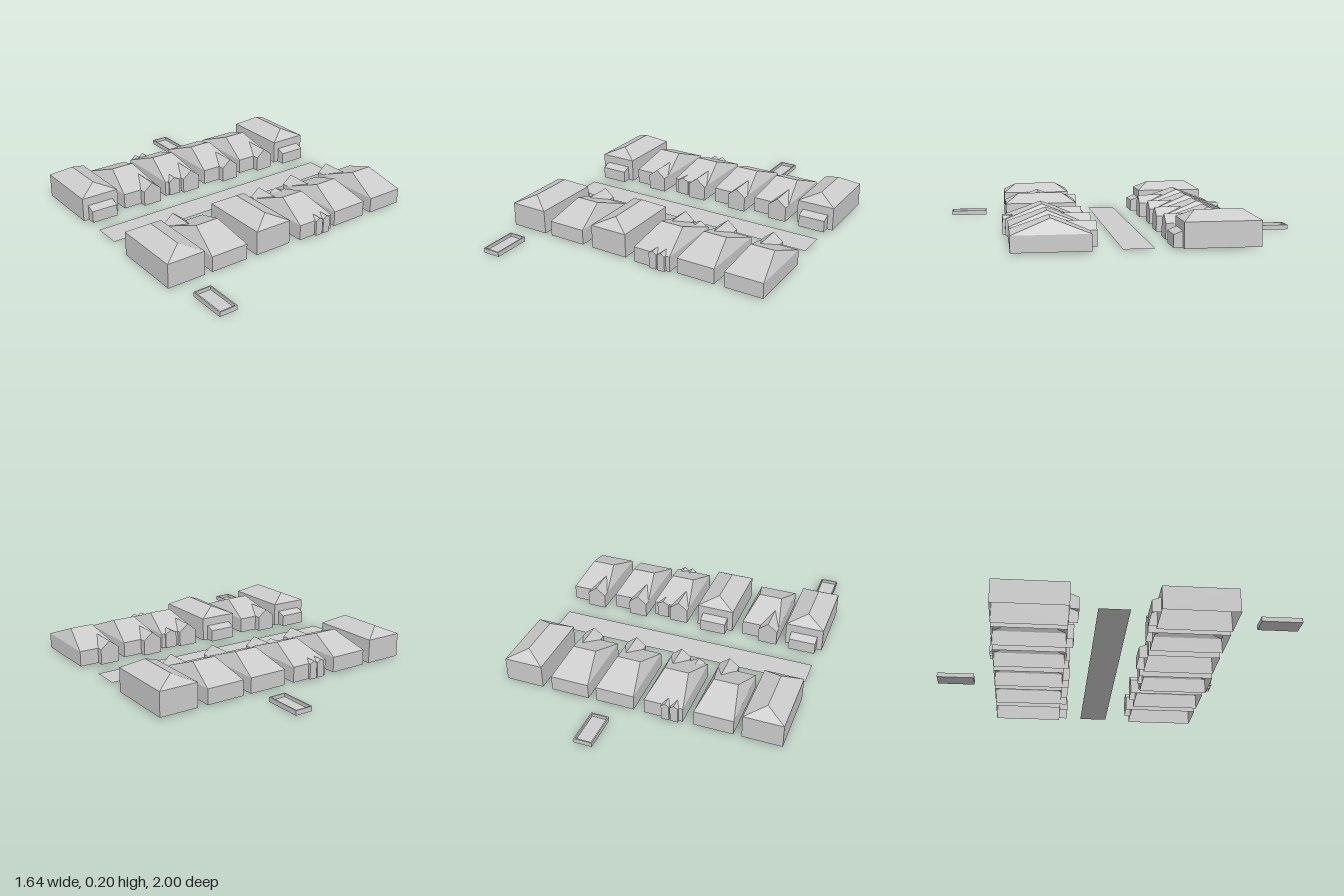
import * as THREE from 'three';

const material = new THREE.MeshStandardMaterial({ color: 0xcccccc, flatShading: true, side: THREE.DoubleSide });
const HW = 0.1135, HD = 0.2085; // half width and half depth of a house
const BASE = 0.01, EAVE = 0.10, RIDGE = 0.18;

// Mesh from corner points and convex faces (fanned into triangles)
function faceted(name, points, faces) {
  const pos = [];
  for (const f of faces)
    for (let i = 1; i < f.length - 1; i++)
      pos.push(...points[f[0]], ...points[f[i]], ...points[f[i + 1]]);
  const g = new THREE.BufferGeometry();
  g.setAttribute('position', new THREE.Float32BufferAttribute(pos, 3));
  g.computeVertexNormals();
  const mesh = new THREE.Mesh(g, material);
  mesh.name = name;
  return mesh;
}

const rect = (w, d, y) => [[-w, y, d], [w, y, d], [w, y, -d], [-w, y, -d]];

// Four walls, open underneath
function walls(eave) {
  return faceted('walls', [...rect(HW, HD, BASE), ...rect(HW, HD, eave)],
    [0, 1, 2, 3].map(i => [i, (i + 1) % 4, 4 + (i + 1) % 4, 4 + i]));
}

// Hipped roof; the ridge is inset by (rx, rz) half lengths, one of them zero
function hipRoof(eave, top, rx, rz) {
  const faces = rx > 0
    ? [[0, 1, 5, 4], [1, 2, 5], [2, 3, 4, 5], [3, 0, 4]]
    : [[0, 1, 4], [1, 2, 5, 4], [2, 3, 5], [3, 0, 4, 5]];
  const ridge = rx > 0 ? [[-rx, top, 0], [rx, top, 0]] : [[0, top, rz], [0, top, -rz]];
  return faceted('hipRoof', [...rect(HW, HD, eave), ...ridge], faces);
}

// Gabled bay whose ridge runs level back into the main roof slope
function gableBay(name, x0, x1, out, top, back = false) {
  const xm = (x0 + x1) / 2, zf = HD + out;
  const zj = HD * (1 - (top - EAVE) / (RIDGE - EAVE));
  const s = back ? -1 : 1;
  const pts = [
    [x0, BASE, zf], [x1, BASE, zf], [x1, EAVE, zf], [xm, top, zf], [x0, EAVE, zf],
    [x0, BASE, HD], [x1, BASE, HD], [x1, EAVE, HD], [xm, top, zj], [x0, EAVE, HD],
  ].map(([x, y, z]) => [x, y, z * s]);
  const faces = [[0, 1, 2, 3, 4], [1, 6, 7, 2], [5, 0, 4, 9], [2, 7, 8, 3], [4, 3, 8, 9]];
  return faceted(name, pts, back ? faces.map(f => f.reverse()) : faces);
}

// Lean-to porch with a sloping top
function porch() {
  const w = 0.08, zf = HD + 0.05;
  const pts = [
    [-w, BASE, zf], [w, BASE, zf], [w, 0.08, zf], [-w, 0.08, zf],
    [-w, BASE, HD], [w, BASE, HD], [w, 0.10, HD], [-w, 0.10, HD],
  ];
  return faceted('porch', pts, [[0, 1, 2, 3], [1, 5, 6, 2], [4, 0, 3, 7], [3, 2, 6, 7]]);
}

function group(name, ...parts) {
  const g = new THREE.Group();
  g.name = name;
  g.add(...parts);
  return g;
}

const houses = {
  tall: () => group('tallHouse', walls(0.15), hipRoof(0.15, 0.20, 0, 0.13), porch()),
  low: () => group('lowHouse', walls(EAVE), hipRoof(EAVE, RIDGE, 0.07, 0),
    gableBay('frontBay', 0, HW, 0.04, 0.146)),
  cottage: () => group('cottage', walls(EAVE), hipRoof(EAVE, RIDGE, 0.07, 0),
    gableBay('frontBay', 0, HW, 0.028, 0.146),
    gableBay('smallFrontBay', -0.09, -0.017, 0.01, 0.12),
    gableBay('rearBayOuter', -0.09, -0.044, 0.015, 0.117, true),
    gableBay('rearBayInner', -0.038, 0.008, 0.015, 0.117, true)),
};

// Shallow open basin with a thin rim
function pool(x, z) {
  const w = 0.105, d = 0.222, t = 0.007, h = 0.027;
  const outline = new THREE.Shape([[-w, -d], [w, -d], [w, d], [-w, d]].map(([a, b]) => new THREE.Vector2(a / 2, b / 2)));
  const iw = w / 2 - t, id = d / 2 - t;
  outline.holes.push(new THREE.Path([[-iw, -id], [-iw, id], [iw, id], [iw, -id]].map(([a, b]) => new THREE.Vector2(a, b))));
  const rim = new THREE.Mesh(new THREE.ExtrudeGeometry(outline, { depth: h, bevelEnabled: false }).rotateX(-Math.PI / 2), material);
  rim.name = 'poolRim';
  const floor = new THREE.Mesh(new THREE.BoxGeometry(2 * iw, 0.008, 2 * id).translate(0, 0.004, 0), material);
  floor.name = 'poolFloor';
  const g = group('pool', rim, floor);
  g.position.set(x, 0, z);
  return g;
}

export function createModel() {
  const model = new THREE.Group();
  model.name = 'street';

  // Two facing rows of houses
  const rows = [
    { z: -0.4475, turn: 0, list: [['tall', -0.708], ['low', -0.435], ['cottage', -0.147], ['low', 0.142], ['low', 0.418], ['tall', 0.704]] },
    { z: 0.4475, turn: Math.PI, list: [['tall', -0.708], ['low', -0.435], ['tall', -0.142], ['cottage', 0.152], ['low', 0.418], ['low', 0.704]] },
  ];
  for (const { z, turn, list } of rows)
    for (const [kind, x] of list) {
      const house = houses[kind]();
      house.position.set(x, 0, kind === 'cottage' && turn ? z + 0.012 : z);
      house.rotation.y = turn;
      model.add(house);
    }

  // Flat road between the rows
  const road = new THREE.Mesh(new THREE.PlaneGeometry(1.59, 0.17).rotateX(-Math.PI / 2), material);
  road.name = 'road';
  road.position.set(-0.007, 0.01, -0.008);
  model.add(road);

  // Garden pools behind two of the houses
  model.add(pool(-0.698, 0.889), pool(0.176, -0.889));
  return model;
}
